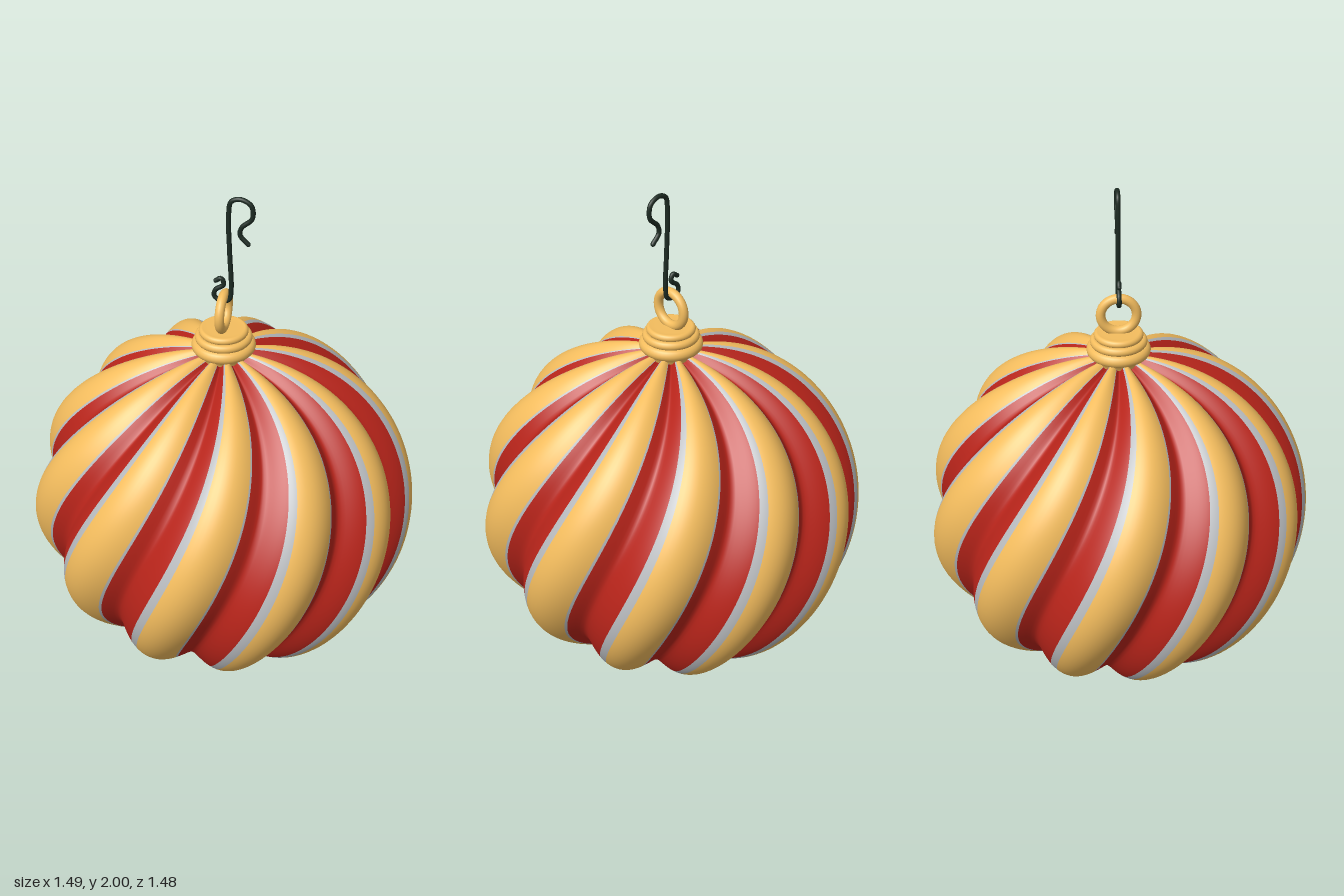
import * as THREE from 'three';

const LOBES = 11, ROWS = 120;
const RADIUS = 0.75, HALF_HEIGHT = 0.68, CENTER_Y = 0.68;
const TWIST = 0.58;       // radians per unit of height
const DEPTH = 0.125;      // how deep the valleys between the lobes are
const START = Math.PI / 2 - 0.02;

const paint = (color) => new THREE.MeshStandardMaterial({ color });
const clamp01 = (v) => Math.min(1, Math.max(0, v));

function addMesh(parent, name, geometry, material) {
  const mesh = new THREE.Mesh(geometry, material);
  mesh.name = name;
  parent.add(mesh);
  return mesh;
}

// Stripe borders across one lobe (0..1) at polar angle theta; the gold
// stripes close in rounded tips near the bottom pole.
function stripeBorders(theta) {
  const s = theta > Math.PI / 2 ? Math.sin(theta) : 1;
  const inner = Math.sqrt(clamp01((s - 0.22) / 0.16));
  const outer = Math.sqrt(clamp01((s - 0.19) / 0.16));
  const mid = 0.58;
  const left = mid - 0.31 * outer;
  return [left, mid - 0.225 * inner, mid + 0.225 * inner, mid + 0.25 * outer, left + 1];
}

// Point on the twisted, lobed ball
function ballPoint(theta, t) {
  const s = Math.sin(theta), c = Math.cos(theta);
  const valley = 1 - Math.sqrt((Math.sin(Math.PI * t) ** 2 + 0.02) / 1.02);
  const k = 1 - DEPTH * Math.sqrt(Math.max(0, s)) * valley;
  const a = START + t * 2 * Math.PI / LOBES + TWIST * HALF_HEIGHT * c;
  return [RADIUS * s * k * Math.cos(a), CENTER_Y + HALF_HEIGHT * c * k, -RADIUS * s * k * Math.sin(a)];
}

// Ball: one shared grid of vertices, split into a mesh per stripe colour
function buildBall(gold) {
  const ball = new THREE.Group();
  ball.name = 'ball';
  const bands = [['silver', 2], ['gold', 9], ['silver', 1], ['red', 12]];
  const perLobe = bands.reduce((sum, b) => sum + b[1], 0);
  const cols = perLobe * LOBES;
  const positions = [];
  const index = { red: [], silver: [], gold: [] };

  for (let i = 0; i <= ROWS; i++) {
    const theta = Math.PI * i / ROWS;
    const borders = stripeBorders(theta);
    for (let lobe = 0; lobe < LOBES; lobe++) {
      let col = lobe * perLobe;
      bands.forEach(([color, steps], b) => {
        for (let n = 0; n < steps; n++, col++) {
          const t = lobe + THREE.MathUtils.lerp(borders[b], borders[b + 1], n / steps);
          positions.push(...ballPoint(theta, t));
          if (i === ROWS) continue;
          const A = i * cols + col, B = i * cols + (col + 1) % cols;
          if (i < ROWS - 1) index[color].push(B, A + cols, B + cols);
          if (i > 0) index[color].push(A, A + cols, B);
        }
      });
    }
  }

  // smooth normals over the whole ball
  const whole = new THREE.BufferGeometry();
  whole.setAttribute('position', new THREE.Float32BufferAttribute(positions, 3));
  whole.setIndex([...index.red, ...index.silver, ...index.gold]);
  whole.computeVertexNormals();

  const materials = { red: paint(0xb8241a), silver: paint(0xb8bbbe), gold };
  for (const color of Object.keys(index)) {
    const part = new THREE.BufferGeometry();
    part.setAttribute('position', whole.attributes.position);
    part.setAttribute('normal', whole.attributes.normal);
    part.setIndex(index[color]);
    addMesh(ball, color + 'Stripes', part, materials[color]);
  }
  return ball;
}

// Cap: stacked rounded tiers on top of the ball
function buildCap() {
  const profile = [new THREE.Vector2(0.09, 1.335)];
  for (const [r, y, h] of [[0.121, 1.38, 0.024], [0.108, 1.415, 0.017], [0.093, 1.441, 0.014]]) {
    for (let n = 0; n <= 8; n++) {
      const a = -Math.PI / 2 + Math.PI * n / 8;
      profile.push(new THREE.Vector2(r - h * (1 - Math.cos(a)), y + h * Math.sin(a)));
    }
  }
  profile.push(new THREE.Vector2(0.06, 1.452), new THREE.Vector2(0, 1.454));
  return new THREE.LatheGeometry(profile, 48);
}

// Hook: bent wire with a small curl below and an open crook on top
function buildHook(parent) {
  const radius = 0.009;
  const path = [
    [-0.03, 1.65], [-0.01, 1.662], [0, 1.638], [-0.032, 1.61], [-0.036, 1.585], [-0.01, 1.567],
    [0.02, 1.576], [0.028, 1.62], [0.022, 1.77], [0.018, 1.93], [0.027, 1.978], [0.06, 1.991],
    [0.1, 1.97], [0.104, 1.92], [0.066, 1.88], [0.06, 1.85], [0.09, 1.815],
  ].map(([x, y]) => new THREE.Vector3(x, y, 0));
  const wire = paint(0x1c2a22);
  const hook = new THREE.Group();
  hook.name = 'hook';
  addMesh(hook, 'hookWire', new THREE.TubeGeometry(new THREE.CatmullRomCurve3(path), 160, radius, 10), wire);
  for (const end of [path[0], path[path.length - 1]]) {
    addMesh(hook, 'hookTip', new THREE.SphereGeometry(radius, 10, 8), wire).position.copy(end);
  }
  parent.add(hook);
}

export function createModel() {
  const model = new THREE.Group();
  model.name = 'ornament';
  const body = new THREE.Group();
  body.name = 'body';
  body.position.z = -0.01;
  model.add(body);

  const gold = paint(0xf4bd5e);
  body.add(buildBall(gold));
  addMesh(body, 'cap', buildCap(), gold);

  // Hanging ring standing on the cap
  const ring = addMesh(body, 'ring', new THREE.TorusGeometry(0.067, 0.018, 16, 48), gold);
  ring.rotation.y = Math.PI / 2;
  ring.position.y = 1.523;

  buildHook(body);
  return model;
}
